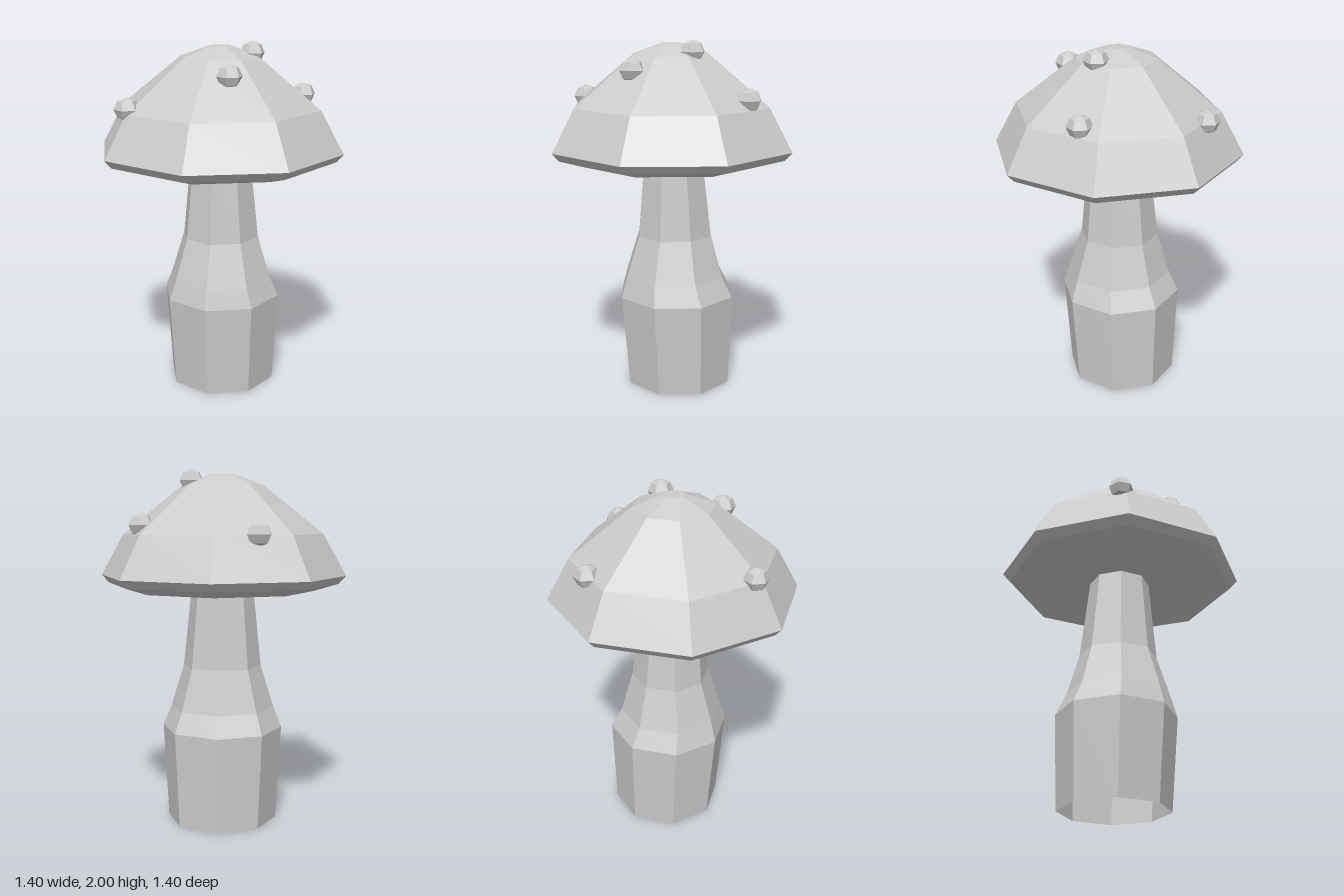
import * as THREE from 'three';

const SIDES = 8;

// Faceted lathe from [radius, height] pairs, listed so that faces point outward
function facetedLathe(name, profile, side = THREE.FrontSide) {
  const points = profile.map(([r, y]) => new THREE.Vector2(r, y));
  const material = new THREE.MeshStandardMaterial({ color: 0xcccccc, flatShading: true, side });
  const mesh = new THREE.Mesh(new THREE.LatheGeometry(points, SIDES), material);
  mesh.name = name;
  return mesh;
}

export function createModel() {
  const mushroom = new THREE.Group();
  mushroom.name = 'mushroom';

  // Stem: [radius, height, z offset]; open tube that leans slightly forward as it rises
  const rings = [
    [0.312, 0, -0.047],
    [0.343, 0.535, -0.032],
    [0.296, 0.65, -0.017],
    [0.222, 0.89, -0.021],
    [0.178, 1.32, -0.012],
    [0.174, 1.37, -0.011],
  ];
  const stem = facetedLathe('stem', rings, THREE.DoubleSide);
  const position = stem.geometry.attributes.position;
  for (let i = 0; i < position.count; i++) {
    position.setZ(i, position.getZ(i) + rings[i % rings.length][2]);
  }
  mushroom.add(stem);

  // Cap: recessed underside, bevelled rim, then the dome
  mushroom.add(facetedLathe('cap', [
    [0, 1.36],
    [0.36, 1.36],
    [0.525, 1.32],
    [0.66, 1.36],
    [0.7, 1.405],
    [0.57, 1.64],
    [0.225, 1.915],
    [0.06, 1.975],
    [0, 1.975],
  ], THREE.DoubleSide));

  // Warts: slightly squashed six-sided beads half sunk into the dome
  const wartGeometry = new THREE.SphereGeometry(0.071, 6, 4);
  wartGeometry.rotateY(Math.PI / 6).scale(1, 0.9, 1);
  const wartMaterial = new THREE.MeshStandardMaterial({ color: 0xcccccc, flatShading: true });
  const warts = new THREE.Group();
  warts.name = 'warts';
  for (const spot of [
    [-0.41, 1.663, 0.365],
    [0.13, 1.845, 0.285],
    [0.17, 1.936, -0.05],
    [0.42, 1.69, -0.265],
    [-0.23, 1.645, -0.48],
  ]) {
    const wart = new THREE.Mesh(wartGeometry, wartMaterial);
    wart.name = 'wart';
    wart.position.set(...spot);
    warts.add(wart);
  }
  mushroom.add(warts);

  return mushroom;
}
